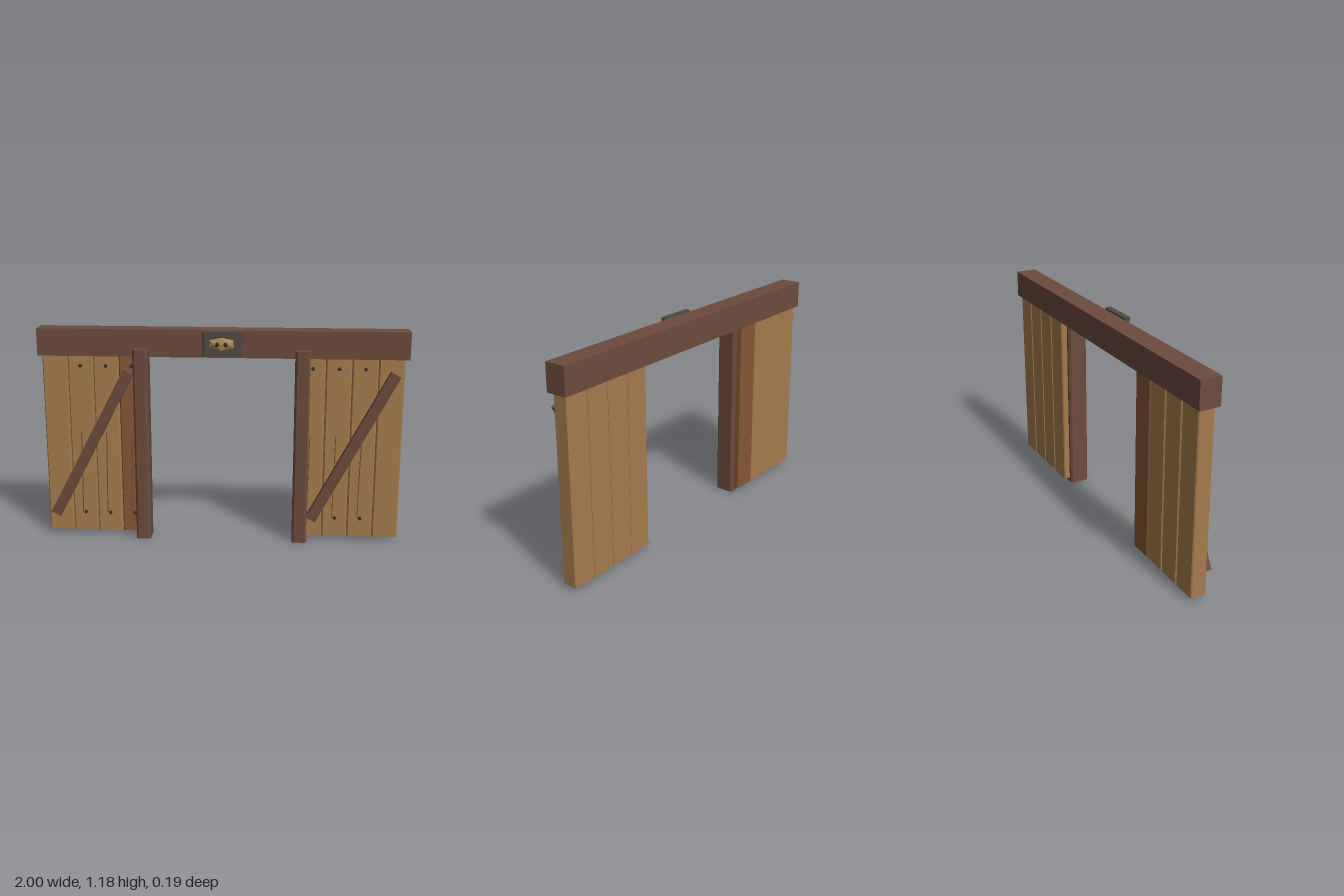
import * as THREE from 'three';

const material = (name, color, extra = {}) => {
  const m = new THREE.MeshStandardMaterial({ color, ...extra });
  m.name = name;
  return m;
};

export function createModel() {
  const timber = material('dark timber', 0x6d4c3d);
  const plankWood = material('plank wood', 0xa67c4e);
  const redWood = material('reddish plank wood', 0x875736);
  const iron = material('dark iron', 0x33302c);
  const signWood = material('sign slate', 0x504a42);
  const tan = material('ornament tan', 0xb08a55);

  const group = new THREE.Group();
  const add = (name, geometry, mat, x, y, z, parent = group) => {
    const mesh = new THREE.Mesh(geometry, mat);
    mesh.name = name;
    mesh.position.set(x, y, z);
    parent.add(mesh);
    return mesh;
  };

  // Upright board with chamfered long edges, standing on y = 0
  const chamferedBoard = (w, h, d, c) => {
    const x = w / 2, z = d / 2;
    const shape = new THREE.Shape([
      [-x + c, -z], [x - c, -z], [x, -z + c], [x, z - c],
      [x - c, z], [-x + c, z], [-x, z - c], [-x, -z + c],
    ].map(p => new THREE.Vector2(...p)));
    const g = new THREE.ExtrudeGeometry(shape, { depth: h, bevelEnabled: false });
    return g.rotateX(-Math.PI / 2);
  };

  // Lintel
  add('topBeam', new THREE.BoxGeometry(2, 0.148, 0.115), timber, 0, 1.104, -0.035);

  const plankGeometry = chamferedBoard(0.137, 1.015, 0.086, 0.006);
  const postGeometry = chamferedBoard(0.08, 1.075, 0.111, 0.011);
  const braceGeometry = new THREE.BoxGeometry(0.058, 0.93, 0.037);
  const nailGeometry = new THREE.CylinderGeometry(0.01, 0.01, 0.012, 8).rotateX(Math.PI / 2);
  const crackGeometry = new THREE.BoxGeometry(0.004, 0.47, 0.009);

  for (const side of [-1, 1]) {
    const panel = new THREE.Group();
    panel.name = side < 0 ? 'rightPanel' : 'leftPanel';
    group.add(panel);

    // Planks from the inside out, with nails and cracks on all but the outermost
    for (let i = 0; i < 4; i++) {
      const x = side * (0.49 + i * 0.14);
      const wood = side < 0 && i === 0 ? redWood : plankWood;
      add('plank', plankGeometry, wood, x, 0.025, -0.035, panel);
      if (i === 3) continue;
      for (const y of [0.132, 0.975]) add('nail', nailGeometry, iron, x, y, 0.01, panel);
      const crack = add('crack', crackGeometry, timber, x - 0.011, 0.37, 0.01, panel);
      crack.rotation.z = -0.018;
    }

    add('post', postGeometry, timber, side * 0.435, 0, 0.011, panel);
    // Both braces lean the same way
    const brace = add('brace', braceGeometry, timber, side * 0.715 - 0.003, 0.541, 0.0295, panel);
    brace.rotation.z = -0.484;
  }

  // Sign board with a faceted ornament
  const sign = new THREE.Group();
  sign.name = 'sign';
  sign.position.x = 0.01;
  group.add(sign);
  add('signBoard', chamferedBoard(0.216, 0.134, 0.034, 0.007), signWood, 0, 1.043, 0.056, sign);
  const ornament = new THREE.IcosahedronGeometry(1, 0).rotateZ(Math.PI / 2);
  ornament.scale(0.075, 0.04, 0.021);
  add('ornament', ornament, tan, -0.005, 1.113, 0.076, sign);
  for (const s of [-1, 1]) {
    add('ornamentStud', new THREE.SphereGeometry(0.012, 8, 6), iron, -0.005 + s * 0.022, 1.113, 0.09, sign);
  }

  return group;
}
